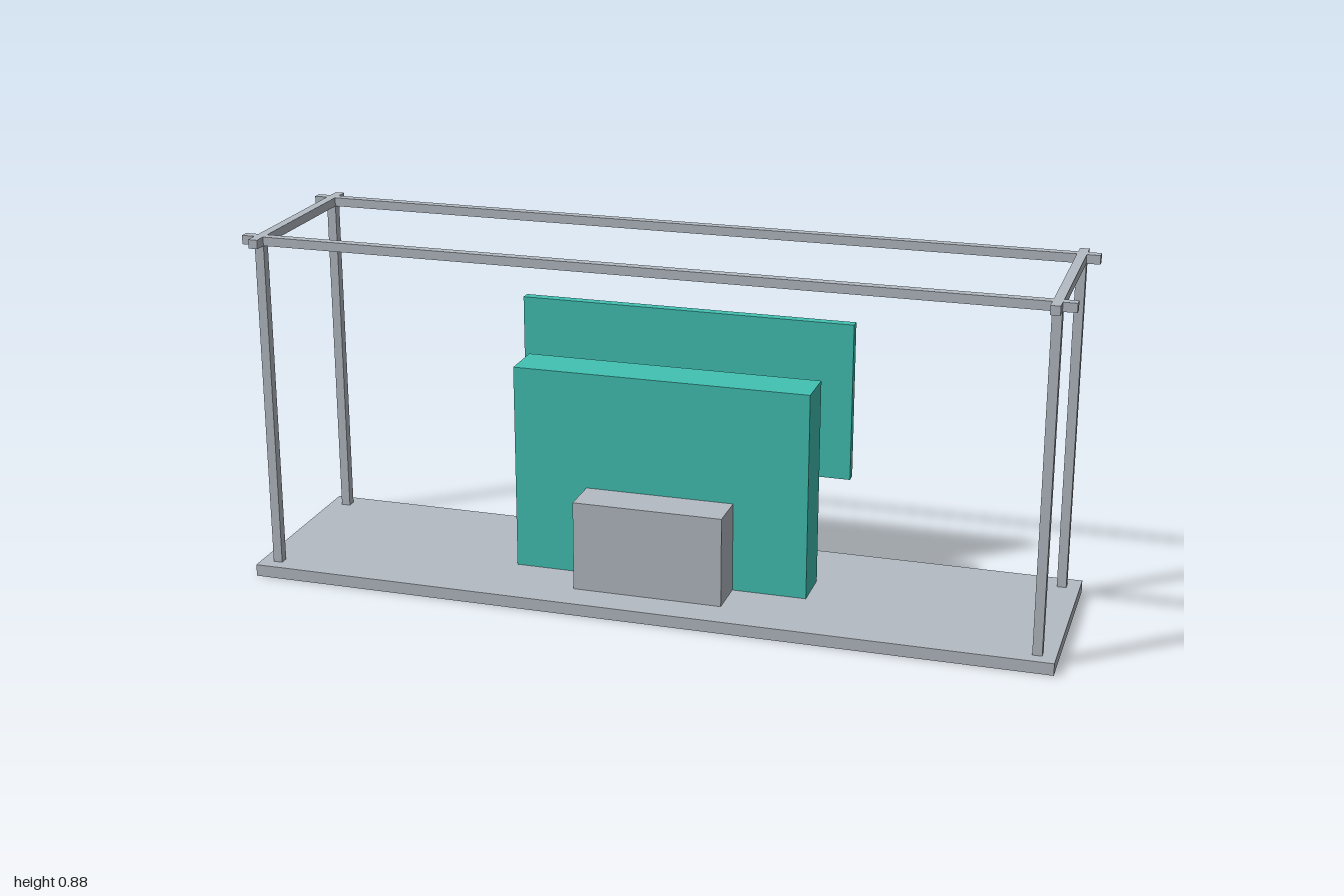
import * as THREE from 'three';

export function createModel() {
  const model = new THREE.Group();
  model.name = 'exhibitionStand';

  const mat = (name, color) => {
    const m = new THREE.MeshStandardMaterial({ color });
    m.name = name;
    return m;
  };
  const grey = mat('lightGrey', 0xb4bbc3);
  const teal = mat('teal', 0x42c2b4);
  const dark = mat('darkSlate', 0x2b3a47);
  const glass = mat('screenBlue', 0x547286);

  // Box given by its minimum and maximum corners
  const box = (name, material, [x0, y0, z0], [x1, y1, z1]) => {
    const mesh = new THREE.Mesh(new THREE.BoxGeometry(x1 - x0, y1 - y0, z1 - z0), material);
    mesh.position.set((x0 + x1) / 2, (y0 + y1) / 2, (z0 + z1) / 2);
    mesh.name = name;
    model.add(mesh);
  };

  // Floor slab
  box('floor', grey, [-1, 0, -0.25], [1, 0.03, 0.25]);

  // Posts and crossing roof rails
  const r = 0.0115, px = 0.956, pz = 0.206, top = 0.875, under = 0.853;
  for (const sx of [-1, 1]) {
    for (const sz of [-1, 1]) {
      const x = sx * px, z = sz * pz;
      box('post', grey, [x - r, 0.03, z - r], [x + r, under, z + r]);
    }
    box('sideRail', grey, [sx * px - r, under, -0.25], [sx * px + r, top, 0.25]);
  }
  for (const sz of [-1, 1]) {
    box('longRail', grey, [-1, under, sz * pz - r], [1, top, sz * pz + r]);
  }

  // Central wall and the counter in front of it
  box('wall', teal, [-0.372, 0.02, -0.057], [0.372, 0.551, 0.057]);
  box('counter', grey, [-0.187, 0.02, 0.057], [0.187, 0.256, 0.162]);

  // Rear display: backing panel, bezel and thin screen
  box('displayPanel', teal, [-0.425, 0.263, -0.192], [0.425, 0.663, -0.167]);
  box('displayBezel', dark, [-0.407, 0.281, -0.21], [0.407, 0.645, -0.19]);
  box('displayScreen', glass, [-0.399, 0.289, -0.213], [0.399, 0.637, -0.209]);

  return model;
}
